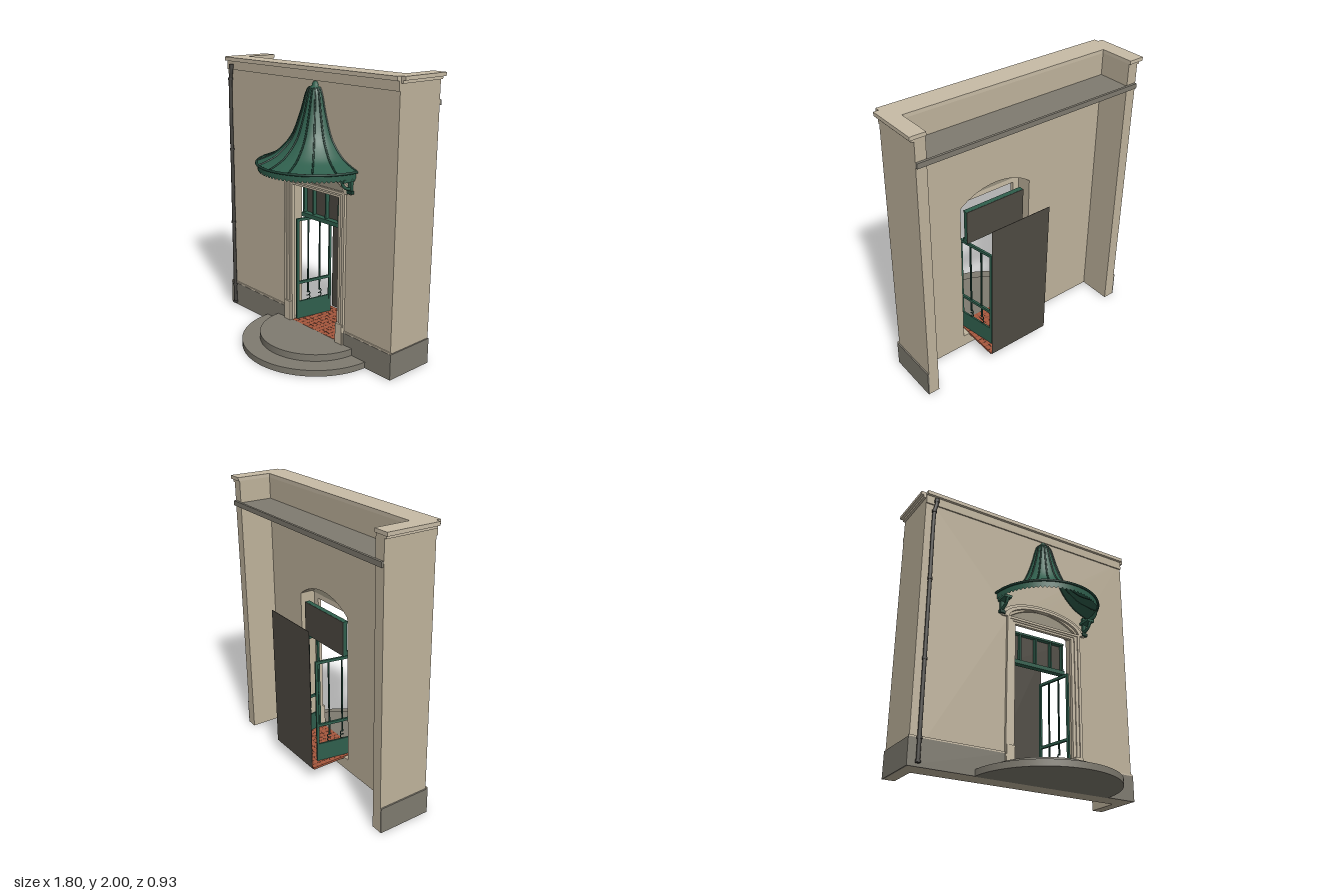
import * as THREE from 'three';

const mat = (name, color, double = false) => {
  const m = new THREE.MeshStandardMaterial({ color });
  m.name = name;
  if (double) m.side = THREE.DoubleSide;
  return m;
};

const CX = 0.117;      // axis of the doorway
const FRONT = -0.055;  // wall face
const INNER = -0.19;   // back of the front wall
const BACK = -0.43;    // end of the side returns

export function createModel() {
  const M = {
    wall: mat('wall plaster', 0xbfb39c),
    trim: mat('pale trim', 0xc8bca6),
    stone: mat('grey stone', 0x7f7b70),
    panel: mat('tympanum grey', 0x98917f, true),
    green: mat('green metal', 0x2f5f4d, true),
    deep: mat('deep green metal', 0x1d4034, true),
    pipe: mat('pipe grey', 0x45433f),
    glass: mat('dark glass', 0x4e4a42, true),
    tile: mat('red tile', 0xa9583d),
    grout: mat('tile joint', 0x6b4032),
  };
  const root = new THREE.Group();
  const add = (name, geo, m, parent = root) => {
    const mesh = new THREE.Mesh(geo, m);
    mesh.name = name;
    parent.add(mesh);
    return mesh;
  };
  // box given by its extents
  const box = (name, m, x0, x1, y0, y1, z0, z1, parent = root) => {
    const b = add(name, new THREE.BoxGeometry(x1 - x0, y1 - y0, z1 - z0), m, parent);
    b.position.set((x0 + x1) / 2, (y0 + y1) / 2, (z0 + z1) / 2);
    return b;
  };
  const extrude = (name, shape, z0, z1, m) => {
    const g = new THREE.ExtrudeGeometry(shape, { depth: z1 - z0, bevelEnabled: false, curveSegments: 24 });
    return add(name, g.translate(0, 0, z0), m);
  };
  // outline with a segmental arch on top
  const archOutline = (P, hw, y0, spring, rise) => {
    const s = new P();
    const R = (hw * hw + rise * rise) / (2 * rise), a = Math.asin(hw / R);
    s.moveTo(CX - hw, y0);
    s.lineTo(CX + hw, y0);
    s.lineTo(CX + hw, spring);
    s.absarc(CX, spring + rise - R, R, Math.PI / 2 - a, Math.PI / 2 + a, false);
    s.lineTo(CX - hw, y0);
    return s;
  };
  const rect = (P, x0, x1, y0, y1) => {
    const s = new P();
    s.moveTo(x0, y0); s.lineTo(x1, y0); s.lineTo(x1, y1); s.lineTo(x0, y1); s.closePath();
    return s;
  };

  // front wall with arched opening, side returns
  const wall = rect(THREE.Shape, -0.868, 0.865, 0, 1.975);
  wall.holes.push(archOutline(THREE.Path, 0.29, 0.09, 1.2, 0.1));
  extrude('frontWall', wall, INNER, FRONT, M.wall);
  box('rightReturn', M.wall, -0.868, -0.79, 0, 1.975, BACK, INNER);
  box('leftReturn', M.wall, 0.79, 0.865, 0, 1.975, BACK, INNER);

  // cornice and frieze
  box('frontCornice', M.trim, -0.868, 0.865, 1.972, 2, INNER, -0.025);
  box('corniceFrieze', M.wall, -0.868, 0.865, 1.908, 1.972, FRONT, -0.045);
  for (const s of [-1, 1]) {
    const [a, b] = s < 0 ? [-0.905, -0.79] : [0.79, 0.9];
    box('sideCornice', M.trim, a, b, 1.975, 2, -0.44, -0.06);
    const [c, d] = s < 0 ? [-0.885, -0.868] : [0.865, 0.882];
    box('sideCorniceMoulding', M.trim, c, d, 1.955, 1.975, -0.43, -0.06);
  }

  // roof deck behind the parapet
  box('roofDeck', M.stone, -0.79, 0.79, 1.79, 1.82, BACK, INNER);
  box('roofDeckEdge', M.stone, -0.865, 0.865, 1.79, 1.825, -0.447, BACK);

  // plinth
  for (const [x0, x1] of [[-0.878, -0.19], [0.424, 0.875]]) {
    box('frontPlinth', M.stone, x0, x1, 0, 0.185, FRONT, -0.045);
    box('plinthLedge', M.trim, x0, x1, 0.185, 0.197, FRONT, -0.047);
  }
  box('rightPlinth', M.stone, -0.878, -0.867, 0, 0.185, BACK, FRONT);
  box('leftPlinth', M.stone, 0.864, 0.875, 0, 0.185, BACK, FRONT);

  // half round steps
  [[0.528, 0, 0.045], [0.398, 0.045, 0.095]].forEach(([r, y0, y1]) => {
    const g = new THREE.CylinderGeometry(r, r, y1 - y0, 64, 1, false, -Math.PI / 2, Math.PI);
    add('step', g, M.stone).position.set(CX, (y0 + y1) / 2, -0.058);
  });

  // door surround: stepped nested frames
  [[0.29, 0.24, 1.15, 1.19, -0.075, -0.05], [0.31, 0.265, 1.165, 1.19, FRONT, -0.043],
    [0.312, 0.29, 1.178, 1.195, FRONT, -0.036]].forEach(([ow, iw, iy, oy, z0, z1]) => {
    const f = new THREE.Shape();
    const p = [[-ow, 0.095], [-iw, 0.095], [-iw, iy], [iw, iy], [iw, 0.095], [ow, 0.095], [ow, oy], [-ow, oy]];
    f.setFromPoints(p.map(([x, y]) => new THREE.Vector2(CX + x, y)));
    extrude('doorSurround', f, z0, z1, M.trim);
  });
  for (const s of [-1, 1]) {
    const x = CX + s * 0.276;
    box('surroundBase', M.trim, x - 0.032, x + 0.032, 0.095, 0.245, FRONT, -0.03);
  }
  // arched hood mould and tympanum
  [[0.36, 0.15, 0.3, 0.11, -0.045], [0.335, 0.13, 0.3, 0.11, -0.036]].forEach(([ow, oh, iw, ih, z1]) => {
    const s = new THREE.Shape();
    s.moveTo(CX + ow, 1.19);
    s.absellipse(CX, 1.19, ow, oh, 0, Math.PI, false);
    s.lineTo(CX - iw, 1.19);
    s.absellipse(CX, 1.19, iw, ih, Math.PI, 0, true);
    extrude('archMould', s, FRONT, z1, M.trim);
  });
  extrude('tympanum', archOutline(THREE.Shape, 0.29, 1.19, 1.2, 0.1), -0.08, -0.072, M.panel);

  // transom window
  box('transomGlass', M.glass, -0.122, 0.357, 0.9, 1.15, -0.19, -0.187);
  box('transomTopRail', M.green, -0.122, 0.357, 1.135, 1.15, -0.186, -0.15);
  box('transomBottomRail', M.green, -0.122, 0.357, 0.895, 0.925, -0.186, -0.14);
  for (const x of [-0.115, -0.015, CX, 0.248, 0.35])
    box('transomMullion', M.green, x - 0.006, x + 0.006, 0.925, 1.135, -0.186, -0.155);

  // passage floor and rear screen
  box('passageFloor', M.tile, -0.122, 0.357, 0.084, 0.096, -0.447, FRONT);
  box('floorUnderside', M.glass, -0.122, 0.357, 0.08, 0.084, -0.447, INNER);
  for (let i = 1; i < 12; i++) {
    const x = -0.122 + i * 0.04;
    box('tileJoint', M.grout, x - 0.0015, x + 0.0015, 0.096, 0.0968, -0.447, FRONT);
  }
  for (let i = 1; i < 10; i++) {
    const z = FRONT - i * 0.04;
    box('tileJoint', M.grout, -0.122, 0.357, 0.096, 0.0968, z - 0.0015, z + 0.0015);
  }
  box('rearScreen', M.glass, -0.122, 0.357, 0.095, 1.15, -0.462, -0.459);

  // open door leaves with grilles
  for (const s of [-1, 1]) {
    const leaf = new THREE.Group();
    leaf.name = 'doorLeaf';
    const L = 0.3, t = 0.008;
    const bar = (n, x0, x1, y0, y1, d = t, m = M.green) => box(n, m, x0, x1, y0, y1, -d, d, leaf);
    bar('hingeStile', 0, 0.018, 0.098, 0.885);
    bar('lockStile', L - 0.018, L, 0.098, 0.885);
    bar('topRail', 0, L, 0.865, 0.885);
    bar('middleRail', 0, L, 0.375, 0.395);
    bar('kickPanel', 0, L, 0.098, 0.235, 0.006);
    for (const x of [0.1, 0.2]) {
      bar('grilleBar', x - 0.005, x + 0.005, 0.29, 0.87, 0.005, M.deep);
      for (const y of [0.253, 0.283]) {
        const c = add('scroll', new THREE.TorusGeometry(0.016, 0.004, 6, 16, Math.PI * 1.4), M.deep, leaf);
        c.position.set(x, y, 0);
        c.rotation.z = -Math.PI * 0.7;
      }
    }
    leaf.position.set(CX + s * 0.23, 0, -0.085);
    leaf.rotation.y = s < 0 ? 1.39 : Math.PI - 1.39;
    root.add(leaf);
  }

  // bell shaped half canopy
  const canopy = new THREE.Group();
  canopy.name = 'canopy';
  canopy.position.set(CX, 0, FRONT);
  root.add(canopy);
  const curve = new THREE.SplineCurve([[0.402, 1.357], [0.34, 1.38], [0.26, 1.425], [0.165, 1.53],
    [0.105, 1.68], [0.066, 1.82], [0.045, 1.862]].map((p) => new THREE.Vector2(...p)));
  const profile = curve.getPoints(28);
  add('canopyRoof', new THREE.LatheGeometry(profile, 48, -Math.PI / 2, Math.PI), M.green, canopy);
  for (let i = 0; i <= 8; i++) {
    const a = -Math.PI / 2 + (i * Math.PI) / 8;
    const path = new THREE.CatmullRomCurve3(profile.map((p) =>
      new THREE.Vector3(p.x * Math.sin(a), p.y + 0.002, p.x * Math.cos(a))));
    add('canopyRib', new THREE.TubeGeometry(path, 28, 0.0065, 6), M.deep, canopy);
  }
  const finial = [[0.05, 1.855], [0.045, 1.868], [0.024, 1.872], [0.026, 1.885], [0.016, 1.9], [0, 1.906]];
  add('finial', new THREE.LatheGeometry(finial.map((p) => new THREE.Vector2(...p)), 24, -Math.PI / 2, Math.PI),
    M.green, canopy);
  const rim = add('canopyRim', new THREE.TorusGeometry(0.404, 0.009, 8, 48, Math.PI), M.deep, canopy);
  rim.rotation.x = Math.PI / 2;
  rim.position.y = 1.353;
  // scalloped valance: a strip bent round the rim
  const val = new THREE.PlaneGeometry(1, 1, 240, 1);
  const vp = val.attributes.position;
  for (let i = 0; i < vp.count; i++) {
    const u = vp.getX(i), a = u * Math.PI;
    const y = vp.getY(i) > 0 ? 1.355 : 1.312 - 0.013 * Math.abs(Math.sin((u + 0.5) * Math.PI * 40));
    vp.setXYZ(i, 0.395 * Math.sin(a), y, 0.395 * Math.cos(a));
  }
  val.computeVertexNormals();
  add('valance', val, M.green, canopy);

  // canopy brackets
  for (const s of [-1, 1]) {
    const x = CX + s * 0.357;
    box('bracketPlate', M.green, x - 0.014, x + 0.014, 1.21, 1.35, FRONT, -0.035);
    box('bracketFoot', M.deep, x - 0.022, x + 0.022, 1.2, 1.222, FRONT, -0.03);
    box('bracketHead', M.green, x - 0.03, x + 0.03, 1.29, 1.31, FRONT, 0.045);
    const arm = new THREE.QuadraticBezierCurve3(new THREE.Vector3(x, 1.235, -0.04),
      new THREE.Vector3(x, 1.24, 0.03), new THREE.Vector3(x, 1.3, 0.035));
    add('bracketArm', new THREE.TubeGeometry(arm, 12, 0.011, 8), M.green);
  }

  // drainpipe with collars
  const run = new THREE.CatmullRomCurve3([[-0.812, 0.02], [-0.812, 0.6], [-0.812, 1.2], [-0.812, 1.82],
    [-0.808, 1.86], [-0.798, 1.9], [-0.797, 1.945]].map(([x, y]) => new THREE.Vector3(x, y, -0.029)));
  add('drainpipe', new THREE.TubeGeometry(run, 60, 0.0135, 12), M.pipe);
  for (const y of [0.03, 0.18, 0.71, 1.3, 1.84])
    add('pipeCollar', new THREE.CylinderGeometry(0.018, 0.018, 0.016, 12), M.pipe).position.set(-0.812, y, -0.029);
  add('pipeHead', new THREE.CylinderGeometry(0.017, 0.017, 0.03, 12), M.pipe).position.set(-0.797, 1.935, -0.029);

  return root;
}
